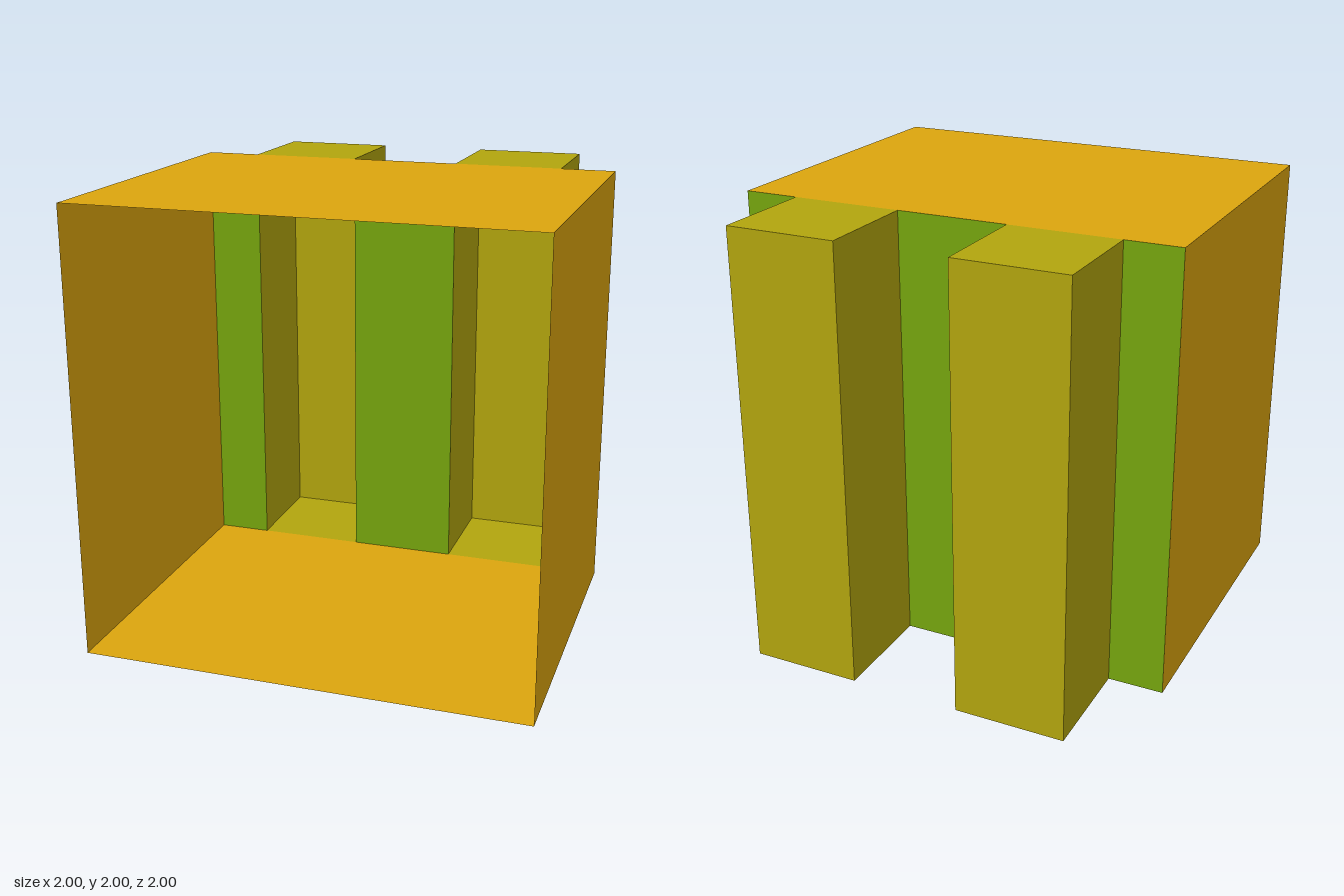
import * as THREE from 'three';

const sheetMaterial = (color) =>
  new THREE.MeshStandardMaterial({ color, side: THREE.DoubleSide, flatShading: true });

// Thin flat panel facing +z by default, then turned and placed
function panel(name, material, width, height, position, rotation = [0, 0, 0]) {
  const mesh = new THREE.Mesh(new THREE.PlaneGeometry(width, height), material);
  mesh.name = name;
  mesh.position.set(...position);
  mesh.rotation.set(...rotation);
  return mesh;
}

// Four thin walls around a rectangle, open at front and back
function sleeve(name, material, width, height, depth, x, z) {
  const group = new THREE.Group();
  group.name = name;
  for (const s of [-1, 1]) {
    group.add(panel(s > 0 ? 'leftSide' : 'rightSide', material, depth, height,
      [s * width / 2, 0, 0], [0, s * Math.PI / 2, 0]));
    group.add(panel(s > 0 ? 'topSide' : 'bottomSide', material, width, depth,
      [0, s * height / 2, 0], [-s * Math.PI / 2, 0, 0]));
  }
  group.position.set(x, height / 2, z);
  return group;
}

export function createModel() {
  const model = new THREE.Group();
  model.name = 'openBox';
  const shell = sheetMaterial(0xdca50e);
  const back = sheetMaterial(0x76a50e);
  const niche = sheetMaterial(0xb2a50e);

  // Main box, open at the front
  model.add(sleeve('shell', shell, 2, 2, 1.5, 0, 0.25));

  // Back wall strips between the niches
  for (const [x, width] of [[-0.875, 0.25], [0, 0.5], [0.875, 0.25]]) {
    model.add(panel('backStrip', back, width, 2, [x, 1, -0.5]));
  }

  // Two hollow niches opening into the box
  for (const x of [-0.5, 0.5]) {
    const column = sleeve(x > 0 ? 'leftNiche' : 'rightNiche', niche, 0.5, 2, 0.5, x, -0.75);
    column.add(panel('nicheBack', niche, 0.5, 2, [0, 0, -0.25]));
    model.add(column);
  }
  return model;
}
